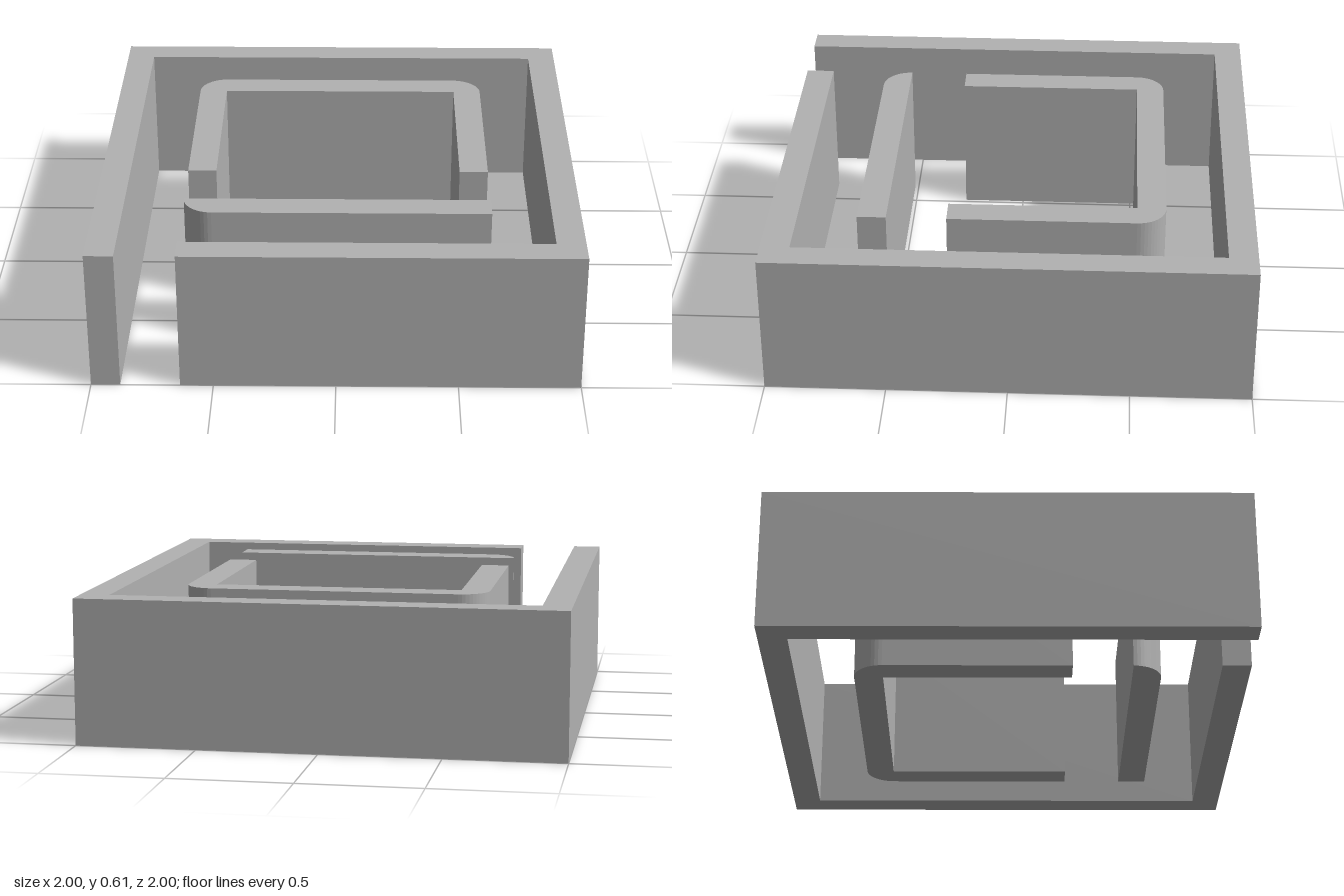
import * as THREE from 'three';

const HEIGHT = 0.605;
const OUT = 1, OUT_IN = 0.88;      // outer wall faces
const INN = 0.636, INN_IN = 0.516; // inner wall faces
const R = INN - INN_IN;            // rounded outer corner of the inner walls

export function createModel() {
  const group = new THREE.Group();
  const stone = new THREE.MeshStandardMaterial({ color: 0xb2b2b2 });
  stone.name = 'grey stone';

  // Raises a floor plan (drawn with plan y = -z) into a wall standing on y = 0
  const addWall = (name, plan) => {
    const geometry = new THREE.ExtrudeGeometry(plan, { depth: HEIGHT, bevelEnabled: false, curveSegments: 6 });
    geometry.rotateX(-Math.PI / 2);
    const mesh = new THREE.Mesh(geometry, stone);
    mesh.name = name;
    group.add(mesh);
  };

  // Outer square wall with a doorway near the front right corner
  addWall('outerWall', new THREE.Shape([
    [-OUT, -OUT], [-OUT_IN, -OUT], [-OUT_IN, OUT_IN], [OUT_IN, OUT_IN],
    [OUT_IN, -OUT_IN], [-INN, -OUT_IN], [-INN, -OUT], [OUT, -OUT],
    [OUT, OUT], [-OUT, OUT],
  ].map(([x, y]) => new THREE.Vector2(x, y))));

  // Inner U-shaped wall, rounded at its two back corners
  const end = -0.267;
  const u = new THREE.Shape();
  u.moveTo(-INN, end);
  u.lineTo(-INN_IN, end);
  u.lineTo(-INN_IN, INN_IN);
  u.lineTo(INN_IN, INN_IN);
  u.lineTo(INN_IN, end);
  u.lineTo(INN, end);
  u.lineTo(INN, INN_IN);
  u.absarc(INN_IN, INN_IN, R, 0, Math.PI / 2, false);
  u.lineTo(-INN_IN, INN);
  u.absarc(-INN_IN, INN_IN, R, Math.PI / 2, Math.PI, false);
  u.closePath();
  addWall('innerWall', u);

  // Inner front wall, rounded at its right corner only
  const f = new THREE.Shape();
  f.moveTo(-INN, -INN_IN);
  f.absarc(-INN_IN, -INN_IN, R, Math.PI, Math.PI * 1.5, false);
  f.lineTo(INN, -INN);
  f.lineTo(INN, -INN_IN);
  f.closePath();
  addWall('innerFrontWall', f);

  return group;
}
